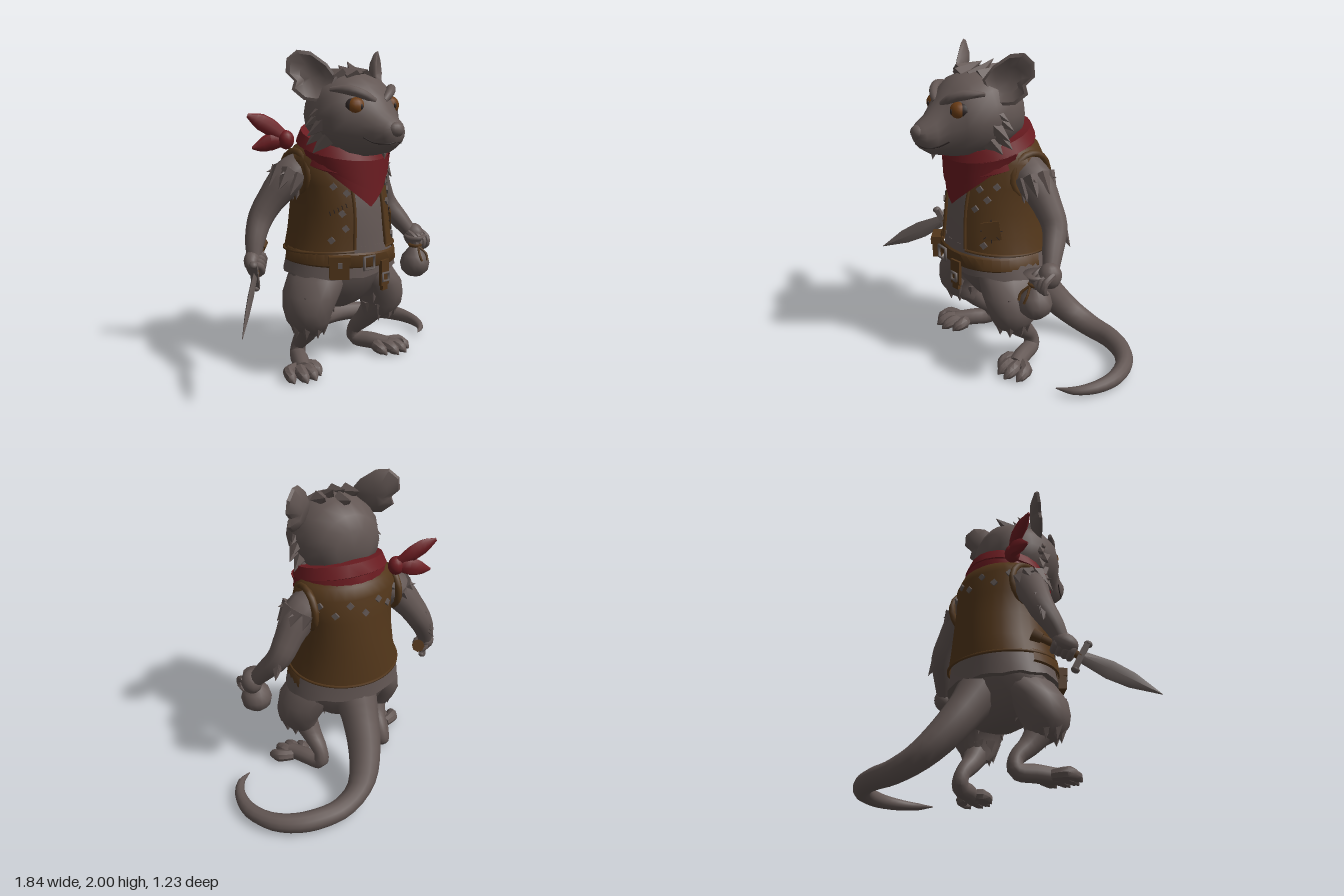
import * as THREE from 'three';
import { mergeGeometries, toCreasedNormals } from 'three/addons/utils/BufferGeometryUtils.js';

const V = (x, y, z) => new THREE.Vector3(x, y, z);
const TAU = Math.PI * 2;
const mat = (name, color, double) => {
  const m = new THREE.MeshStandardMaterial({ color });
  m.name = name;
  if (double) m.side = THREE.DoubleSide;
  return m;
};

export function createModel() {
  const model = new THREE.Group();
  const fur = mat('grey fur', 0x635754), leather = mat('brown leather', 0x52361a, true), red = mat('red cloth', 0x6c1c21, true);
  const dark = mat('dark line', 0x2b2322), amber = mat('amber eye', 0x6b3d16), metal = mat('dull metal', 0x635956);

  const add = (name, geo, material, parent = model) => {
    const m = new THREE.Mesh(geo, material);
    m.name = name;
    parent.add(m);
    return m;
  };
  // Surface through a list of cross-section rings
  const skin = (rings, open = false, flip = false) => {
    const n = rings[0].length, pts = rings.flat(), idx = [];
    const tri = (a, b, c) => idx.push(...(flip ? [a, c, b] : [a, b, c]));
    for (let i = 0; i < rings.length - 1; i++) {
      for (let j = 0; j < (open ? n - 1 : n); j++) {
        const k = (j + 1) % n, a = i * n + j, b = i * n + k;
        tri(a, b, a + n);
        tri(b, b + n, a + n);
      }
    }
    if (!open) {
      const all = pts.length, last = all - n;
      for (const r of [rings[0], rings[rings.length - 1]]) pts.push(r.reduce((s, p) => s.add(p), V(0, 0, 0)).divideScalar(n));
      for (let j = 0; j < n; j++) {
        const k = (j + 1) % n;
        tri(all, k, j);
        tri(all + 1, last + j, last + k);
      }
    }
    const g = new THREE.BufferGeometry().setFromPoints(pts);
    g.setIndex(idx);
    return toCreasedNormals(g, 0.75);
  };
  const arc = (n, f, a = 0, b = TAU, open = false) => Array.from({ length: open ? n + 1 : n }, (_, i) => f(a + (b - a) * i / n));
  // Upright body from rows of [y, centreX, radiusX, centreZ, radiusZ]; angle 0 is the front
  const upright = (rows, n = 20, dy = () => 0, a = 0, b = TAU, open = false) =>
    skin(rows.map(([y, cx, rx, cz, rz]) => arc(n, t => V(cx + rx * Math.sin(t), y + dy(t, y), cz + rz * Math.cos(t)), a, b, open)), open);
  // Tapered limb along a curve, points are [x, y, z, radius]
  const limb = (pts, steps = 12, n = 10, squash = V(1, 1, 1)) => {
    const c = new THREE.CatmullRomCurve3(pts.map(p => V(p[0], p[1], p[2])));
    const f = c.computeFrenetFrames(steps);
    return skin(Array.from({ length: steps + 1 }, (_, i) => {
      const u = i / steps * (pts.length - 1), k = Math.min(Math.floor(u), pts.length - 2);
      const r = THREE.MathUtils.lerp(pts[k][3], pts[k + 1][3], u - k), p = c.getPoint(i / steps);
      return arc(n, t => f.normals[i].clone().multiplyScalar(r * Math.cos(t)).addScaledVector(f.binormals[i], r * Math.sin(t)).multiply(squash).add(p));
    }));
  };
  const cord = (pts, r) => new THREE.TubeGeometry(new THREE.CatmullRomCurve3(pts), pts.length * 4, r, 6);
  const ball = (name, x, y, z, rx, ry, rz, m, parent) => add(name, new THREE.SphereGeometry(1, 14, 10).scale(rx, ry, rz).translate(x, y, z), m, parent);
  // Pointed fur clump
  const tuft = (p, d, len, r) => toCreasedNormals(new THREE.ConeGeometry(r, len, 5), 0.1).translate(0, len * 0.25, 0)
    .applyQuaternion(new THREE.Quaternion().setFromUnitVectors(V(0, 1, 0), d.clone().normalize())).translate(p.x, p.y, p.z);

  // Torso, hips and ragged shirt hem
  const vestRows = [[0.79, 0.03, 0.358, 0.045, 0.332], [0.9, 0.03, 0.328, 0.045, 0.325], [1.05, 0.03, 0.31, 0.045, 0.314], [1.2, 0.03, 0.306, 0.04, 0.288],
    [1.35, 0.025, 0.328, 0.02, 0.25], [1.42, 0.025, 0.28, 0.02, 0.225], [1.48, 0.025, 0.17, 0.04, 0.17]];
  add('torso', upright(vestRows.map(([y, cx, rx, cz, rz]) => [y, cx, rx * 0.94, cz, rz * 0.95])), fur);
  add('hips', upright([[0.385, 0.025, 0.08, 0.03, 0.08], [0.42, 0.025, 0.18, 0.03, 0.14], [0.5, 0.025, 0.28, 0.035, 0.2], [0.6, 0.025, 0.35, 0.04, 0.25], [0.7, 0.03, 0.345, 0.04, 0.28], [0.82, 0.03, 0.33, 0.04, 0.3]]), fur);
  add('shirtHem', upright([[0.64, 0.035, 0.36, 0.05, 0.29], [0.645, 0.035, 0.385, 0.05, 0.315], [0.72, 0.035, 0.365, 0.05, 0.312], [0.83, 0.03, 0.335, 0.045, 0.312]], 36,
    (t, y) => y < 0.7 ? 0.014 * Math.sin(t * 7) * Math.cos(t * 4) : 0), fur);

  // Open leather vest with edge trims
  const gap = 0.37;
  const onVest = (t, y, off = 0) => {
    const k = Math.max(0, Math.min(vestRows.findIndex(r => r[0] > y) - 1, vestRows.length - 2)), A = vestRows[k], B = vestRows[k + 1];
    const [, cx, rx, cz, rz] = A.map((v, i) => THREE.MathUtils.lerp(v, B[i], (y - A[0]) / (B[0] - A[0])));
    return V(cx + (rx + off) * Math.sin(t), y, cz + (rz + off) * Math.cos(t));
  };
  add('vest', upright(vestRows, 28, (t, y) => y < 0.85 ? 0.02 * Math.cos(t) : 0, gap, TAU - gap, true), leather);
  add('vestHem', cord(arc(24, t => onVest(t, 0.79).setY(0.79 + 0.02 * Math.cos(t)), gap, TAU - gap, true), 0.009), leather);
  for (const s of [-1, 1]) {
    add('vestEdge', cord([0.82, 0.95, 1.1, 1.25, 1.36].map(y => onVest(s * gap, y)), 0.011), leather);
    const hole = add('armhole', new THREE.TorusGeometry(0.132, 0.022, 6, 18), leather);
    hole.position.set(0.025 + s * 0.29, 1.265, -0.015);
    hole.rotation.set(0, s * Math.PI / 2, s * 0.15);
  }
  const stick = (name, geo, m, t, y, roll = 0, off = 0.004) => {
    const o = add(name, geo, m), p = onVest(t, y, off);
    o.position.copy(p);
    o.lookAt(p.x + Math.sin(t), p.y, p.z + Math.cos(t));
    o.rotateZ(roll);
  };
  const studs = [[-0.75, 1.2], [-0.5, 1.16], [-0.62, 1.04], [-0.55, 0.95], [-0.8, 0.88], [0.62, 1.2], [0.8, 1.14], [0.58, 1.08], [0.95, 1.22], [0.75, 0.86]];
  for (let i = 0; i < 7; i++) studs.push([Math.PI + (i - 3) * 0.3, 1.32 - 0.06 * (i % 2)]);
  studs.forEach(([t, y]) => stick('stud', new THREE.BoxGeometry(0.034, 0.034, 0.014), metal, t, y, 0.7));
  stick('vestPatch', new THREE.BoxGeometry(0.11, 0.12, 0.009), leather, 0.9, 0.95, 0.15, 0.003);
  for (let i = 0; i < 8; i++) stick('stitch', new THREE.BoxGeometry(0.004, 0.024, 0.009), dark, 0.9 + 0.17 * Math.cos(i * TAU / 8), 0.95 + 0.06 * Math.sin(i * TAU / 8), i * TAU / 8 + 1.57, 0.004);
  for (let i = 0; i < 5; i++) stick('stitch', new THREE.BoxGeometry(0.004, 0.026, 0.009), dark, -0.85 + i * 0.08, 1.04 + i * 0.012, 0.3);

  // Belt, buckles, hanging strap and belt pouch
  const beltRows = [[0.705, 0.03, 0.362, 0.045, 0.345], [0.715, 0.03, 0.372, 0.045, 0.352], [0.785, 0.03, 0.362, 0.045, 0.35], [0.795, 0.03, 0.35, 0.045, 0.34]];
  add('belt', upright(beltRows, 24, t => -0.015 * Math.sin(t), -1.8, 1.8, true), leather);
  const block = (name, w, h, d, x, y, z, ry, m) => {
    const o = add(name, new THREE.BoxGeometry(w, h, d), m);
    o.position.set(x, y, z);
    o.rotation.y = ry;
  };
  block('beltPouch', 0.12, 0.13, 0.06, -0.2, 0.72, 0.335, -0.65, leather);
  block('pouchFlap', 0.13, 0.05, 0.07, -0.2, 0.77, 0.338, -0.65, leather);
  block('pouchClasp', 0.025, 0.035, 0.012, -0.222, 0.745, 0.37, -0.65, metal);
  block('beltStrap', 0.075, 0.16, 0.02, 0.11, 0.655, 0.392, 0.2, leather);
  block('strapTip', 0.05, 0.05, 0.02, 0.11, 0.57, 0.392, 0.2, leather);
  for (const [x, y, r] of [[-0.025, 0.74, 0.055], [0.11, 0.63, 0.035]]) {
    add('buckle', new THREE.TorusGeometry(r, 0.01, 6, 4).rotateZ(Math.PI / 4).translate(x, y, 0.408), metal);
  }

  // Neckerchief: tilted collar, two draped layers, knot and tails
  const tilt = t => -0.07 * Math.cos(t);
  add('scarfCollar', upright([[1.325, 0.025, 0.275, 0.085, 0.255], [1.335, 0.025, 0.298, 0.085, 0.278], [1.41, 0.025, 0.282, 0.085, 0.27], [1.415, 0.025, 0.296, 0.085, 0.275],
    [1.485, 0.025, 0.268, 0.088, 0.248], [1.475, 0.025, 0.2, 0.09, 0.18]], 24, tilt), red);
  for (const [drop, off] of [[0.235, 0], [0.14, 0.012]]) {
    add('scarfDrape', skin([1, 0.66, 0.33, 0].map(k => arc(18, t => {
      const fall = drop * Math.pow(Math.max(0, 1 - Math.abs(t) / 1.5), 1.4) * k + 0.045 * k;
      return V(0.025 + (0.296 + off - 0.02 * k) * Math.sin(t), 1.42 + tilt(t) - fall, 0.075 + (0.286 + off) * Math.cos(t));
    }, -1.5, 1.5, true)), true), red);
  }
  ball('scarfKnot', -0.25, 1.455, -0.13, 0.052, 0.06, 0.048, red);
  add('scarfTail', limb([[-0.24, 1.46, -0.13, 0.03], [-0.33, 1.53, -0.17, 0.055], [-0.41, 1.575, -0.19, 0.052], [-0.48, 1.61, -0.21, 0.012]], 8, 8, V(1, 1, 0.5)), red);
  add('scarfTail', limb([[-0.24, 1.45, -0.13, 0.03], [-0.32, 1.45, -0.17, 0.06], [-0.39, 1.425, -0.19, 0.045], [-0.455, 1.41, -0.2, 0.008]], 8, 8, V(1, 1, 0.5)), red);

  // Head lofted from back to muzzle: [z, top, bottom, half width]
  const head = new THREE.Group();
  head.name = 'head';
  head.position.x = 0.02;
  model.add(head);
  const headRows = [[-0.09, 1.73, 1.5, 0.12], [-0.04, 1.81, 1.42, 0.2], [0.07, 1.865, 1.38, 0.255], [0.2, 1.875, 1.37, 0.275], [0.3, 1.85, 1.37, 0.262],
    [0.37, 1.8, 1.38, 0.215], [0.43, 1.735, 1.395, 0.15], [0.5, 1.65, 1.41, 0.11], [0.56, 1.61, 1.45, 0.085], [0.59, 1.58, 1.49, 0.05]];
  add('skull', skin(headRows.map(([z, a, b, w]) => arc(18, t => V(w * Math.cos(t), (a + b) / 2 + (a - b) / 2 * Math.sin(t), z)))), fur, head);
  add('neck', upright([[1.3, 0, 0.2, 0.07, 0.17], [1.6, 0, 0.2, 0.1, 0.18]], 16), fur, head);
  ball('nose', 0, 1.55, 0.572, 0.055, 0.045, 0.042, fur, head);
  add('mouth', cord([[-0.135, 1.505, 0.445], [-0.098, 1.475, 0.498], [-0.05, 1.47, 0.562], [0, 1.478, 0.576], [0.05, 1.47, 0.562], [0.098, 1.475, 0.498], [0.135, 1.505, 0.445]].map(p => V(...p)), 0.004), dark, head);
  const headTufts = [tuft(V(0, 1.43, 0.47), V(0, -1, 0.2), 0.08, 0.035)];
  for (const [x, z, h, up] of [[-0.12, 0.18, 0.16, 0.3], [-0.05, 0.22, 0.18, 0.4], [0.03, 0.18, 0.18, 0.65], [0.09, 0.16, 0.16, 0.4], [-0.02, 0.08, 0.16, 0.3]]) {
    headTufts.push(tuft(V(x, 1.85, z), V(0.1 + x, up, -0.8), h, 0.06));
  }
  const earOutline = [[0.15, 1.84], [0.19, 1.92], [0.26, 1.99], [0.32, 2], [0.37, 1.95], [0.38, 1.87], [0.345, 1.82], [0.36, 1.77], [0.31, 1.71], [0.25, 1.7], [0.19, 1.74]];
  for (const s of [-1, 1]) {
    // Dished ear
    const earRing = (k, push) => earOutline.map(([x, y]) => {
      const X = 0.25 + (x - 0.25) * k, Y = 1.83 + (y - 1.83) * k;
      return V(s * (X + push * 0.6), Y, 0.22 - (X - 0.16) * 0.85 - (Y - 1.83) * 0.15 + push);
    });
    add('ear', skin([earRing(0.55, -0.045), earRing(0.95, -0.016), earRing(1, 0), earRing(0.86, 0.004), earRing(0.5, -0.025)], false, s > 0), fur, head);
    // Eye in a dark socket, lids and scowling brow
    ball('eyeSocket', s * 0.13, 1.677, 0.362, 0.07, 0.056, 0.05, dark, head);
    ball('eye', s * 0.132, 1.677, 0.375, 0.061, 0.055, 0.054, amber, head);
    ball('pupil', s * 0.13, 1.677, 0.426, 0.01, 0.016, 0.006, dark, head);
    add('brow', limb([[s * 0.035, 1.705, 0.43, 0.02], [s * 0.1, 1.745, 0.405, 0.028], [s * 0.17, 1.772, 0.345, 0.03], [s * 0.235, 1.775, 0.265, 0.012]], 8, 10), fur, head);
    add('lowerLid', limb([[s * 0.06, 1.645, 0.425, 0.012], [s * 0.125, 1.613, 0.4, 0.018], [s * 0.2, 1.635, 0.325, 0.012]], 6, 8), fur, head);
    // Cheek fur
    for (let i = 0; i < 5; i++) headTufts.push(tuft(V(s * (0.245 - 0.012 * Math.abs(i - 2)), 1.66 - i * 0.05, 0.19 - 0.03 * (i % 2)), V(s * 0.8, -0.5 - i * 0.1, -0.5), 0.14, 0.06));
  }
  add('headTufts', mergeGeometries(headTufts), fur, head);

  // Legs with shaggy thighs and long feet
  for (const s of [-1, 1]) {
    const X = x => 0.03 + s * x, leg = new THREE.Group(), tufts = [];
    leg.name = s > 0 ? 'leftLeg' : 'rightLeg';
    model.add(leg);
    add('thigh', upright([[0.255, X(0.25), 0.055, 0.09, 0.06], [0.3, X(0.285), 0.105, 0.11, 0.11], [0.36, X(0.305), 0.13, 0.115, 0.145], [0.43, X(0.295), 0.15, 0.105, 0.175], [0.52, X(0.26), 0.168, 0.095, 0.198],
      [0.62, X(0.19), 0.175, 0.07, 0.205], [0.7, X(0.15), 0.14, 0.06, 0.18]], 16), fur, leg);
    for (let i = 0; i < 8; i++) {
      const t = i * TAU / 8, side = V(Math.sin(t), 0, Math.cos(t));
      tufts.push(tuft(V(X(0.295), 0.345, 0.115).addScaledVector(side, 0.09), V(0, -1, 0).addScaledVector(side, 0.05), 0.12, 0.055));
      if (i % 2) tufts.push(tuft(V(X(0.27), 0.49, 0.1).addScaledVector(side, 0.125), V(0, -1, 0).addScaledVector(side, 0.25), 0.13, 0.05));
    }
    add('thighFur', mergeGeometries(tufts), fur, leg);
    add('shinAndFoot', limb([[X(0.275), 0.34, 0.1, 0.09], [X(0.25), 0.23, 0.02, 0.065], [X(0.235), 0.14, -0.07, 0.048], [X(0.245), 0.068, -0.075, 0.052], [X(0.3), 0.06, 0.03, 0.056], [X(0.36), 0.05, 0.14, 0.05]], 18, 12), fur, leg);
    for (const [x, z] of [[0.27, 0.17], [0.335, 0.215], [0.4, 0.215], [0.465, 0.17]]) {
      add('toe', limb([[X(0.335 + (x - 0.35) * 0.3), 0.05, 0.09, 0.036], [X(x), 0.05, z - 0.04, 0.042], [X(x * 1.02), 0.034, z + 0.015, 0.032], [X(x * 1.03), 0.012, z + 0.045, 0.004]], 6, 8), fur, leg);
    }
  }

  // Curling tail
  add('tail', limb([[0.04, 0.64, -0.1, 0.155], [0.05, 0.48, -0.22, 0.122], [0.09, 0.3, -0.355, 0.105], [0.18, 0.15, -0.475, 0.088], [0.34, 0.08, -0.54, 0.075], [0.5, 0.072, -0.553, 0.068], [0.66, 0.067, -0.515, 0.063],
    [0.79, 0.062, -0.42, 0.057], [0.87, 0.056, -0.26, 0.049], [0.87, 0.05, -0.1, 0.037], [0.815, 0.045, 0.02, 0.024], [0.73, 0.04, 0.08, 0.003]], 33, 12), fur);

  // Arms with ragged shoulder fur
  const arms = {
    leftArm: [[0.25, 1.29, -0.015, 0.115], [0.345, 1.24, -0.02, 0.115], [0.45, 1.1, -0.045, 0.088], [0.515, 0.99, -0.05, 0.078], [0.59, 0.87, 0.02, 0.062], [0.65, 0.77, 0.08, 0.045]],
    rightArm: [[-0.2, 1.29, -0.015, 0.115], [-0.295, 1.24, -0.03, 0.115], [-0.405, 1.1, -0.08, 0.088], [-0.47, 0.99, -0.1, 0.078], [-0.53, 0.87, -0.07, 0.062], [-0.56, 0.77, -0.04, 0.045]],
  };
  for (const [name, pts] of Object.entries(arms)) {
    add(name, limb(pts, 15, 12), fur);
    const s = Math.sign(pts[0][0]), [x, y, z] = pts[1], tufts = [];
    for (let i = 0; i < 8; i++) {
      const t = i * TAU / 8;
      tufts.push(tuft(V(x + s * 0.02 + 0.07 * Math.cos(t), y - 0.01 + s * 0.04 * Math.cos(t), z + 0.085 * Math.sin(t)), V(s * 0.6 + 0.3 * Math.cos(t), -1, 0.2 * Math.sin(t)), 0.14, 0.055));
    }
    for (const dz of [-0.05, 0, 0.05]) tufts.push(tuft(V(x, y + 0.05, z + dz), V(s, -0.15, dz * 4), 0.17, 0.06));
    for (let i = 0; i < 3; i++) tufts.push(tuft(V(pts[3][0] + s * 0.02 * i, 1.04 - i * 0.05, pts[3][2] - 0.04), V(s * 0.4, -1, -0.4), 0.11, 0.04));
    add(name + 'Fur', mergeGeometries(tufts), fur);
  }

  // Left hand holding a coin sack
  ball('leftPalm', 0.658, 0.765, 0.09, 0.068, 0.08, 0.072, fur);
  for (let i = 0; i < 4; i++) {
    const x = 0.705 - i * 0.036;
    add('finger', limb([[x, 0.79, 0.1, 0.02], [x + 0.005, 0.755, 0.165, 0.022], [x, 0.7, 0.17, 0.02], [x - 0.01, 0.675, 0.135, 0.012]], 6, 7), fur);
  }
  const sack = [[0, -0.105], [0.05, -0.097], [0.09, -0.06], [0.1, -0.01], [0.085, 0.045], [0.04, 0.095], [0.028, 0.115], [0.045, 0.15], [0.075, 0.18], [0.02, 0.17]];
  add('coinSack', new THREE.LatheGeometry(sack.map(p => new THREE.Vector2(...p)), 16).translate(0.61, 0.6, 0.155), fur);
  add('sackCord', new THREE.TorusGeometry(0.036, 0.012, 6, 14).rotateX(Math.PI / 2).translate(0.61, 0.712, 0.155), leather);
  for (const s of [-1, 1]) add('sackCordEnd', cord([V(0.605, 0.71, 0.19), V(0.605 + s * 0.03, 0.66, 0.237), V(0.605 + s * 0.025, 0.62, 0.255)], 0.008), leather);

  // Dagger gripped in the right hand, local y runs from pommel to tip
  const dagger = new THREE.Group();
  dagger.name = 'dagger';
  model.add(dagger);
  const d = V(-0.47, -0.355, 0.52).normalize(), w = V(0, 1, 0).addScaledVector(d, -d.y).normalize();
  dagger.quaternion.setFromRotationMatrix(new THREE.Matrix4().makeBasis(w, d, w.clone().cross(d)));
  dagger.position.set(-0.45, 0.81, -0.13);
  add('blade', upright([[0.28, 0, 0.038, 0, 0.016], [0.46, 0, 0.06, 0, 0.018], [0.6, 0, 0.05, 0, 0.014], [0.786, 0, 0.002, 0, 0.002]], 4), metal, dagger);
  add('guard', new THREE.BoxGeometry(0.18, 0.035, 0.045).translate(0, 0.28, 0), metal, dagger);
  for (const s of [-1, 1]) ball('guardEnd', s * 0.09, 0.285, 0, 0.02, 0.026, 0.025, metal, dagger);
  add('grip', new THREE.CylinderGeometry(0.024, 0.024, 0.28, 8).translate(0, 0.14, 0), leather, dagger);
  add('pommel', new THREE.CylinderGeometry(0.032, 0.042, 0.06, 8), leather, dagger);
  for (let i = 0; i < 4; i++) add('finger', new THREE.TorusGeometry(0.036, 0.022, 8, 12).rotateX(Math.PI / 2).translate(0, 0.12 + i * 0.034, 0), fur, dagger);
  ball('rightPalm', 0.025, 0.165, -0.03, 0.055, 0.08, 0.05, fur, dagger);
  return model;
}
